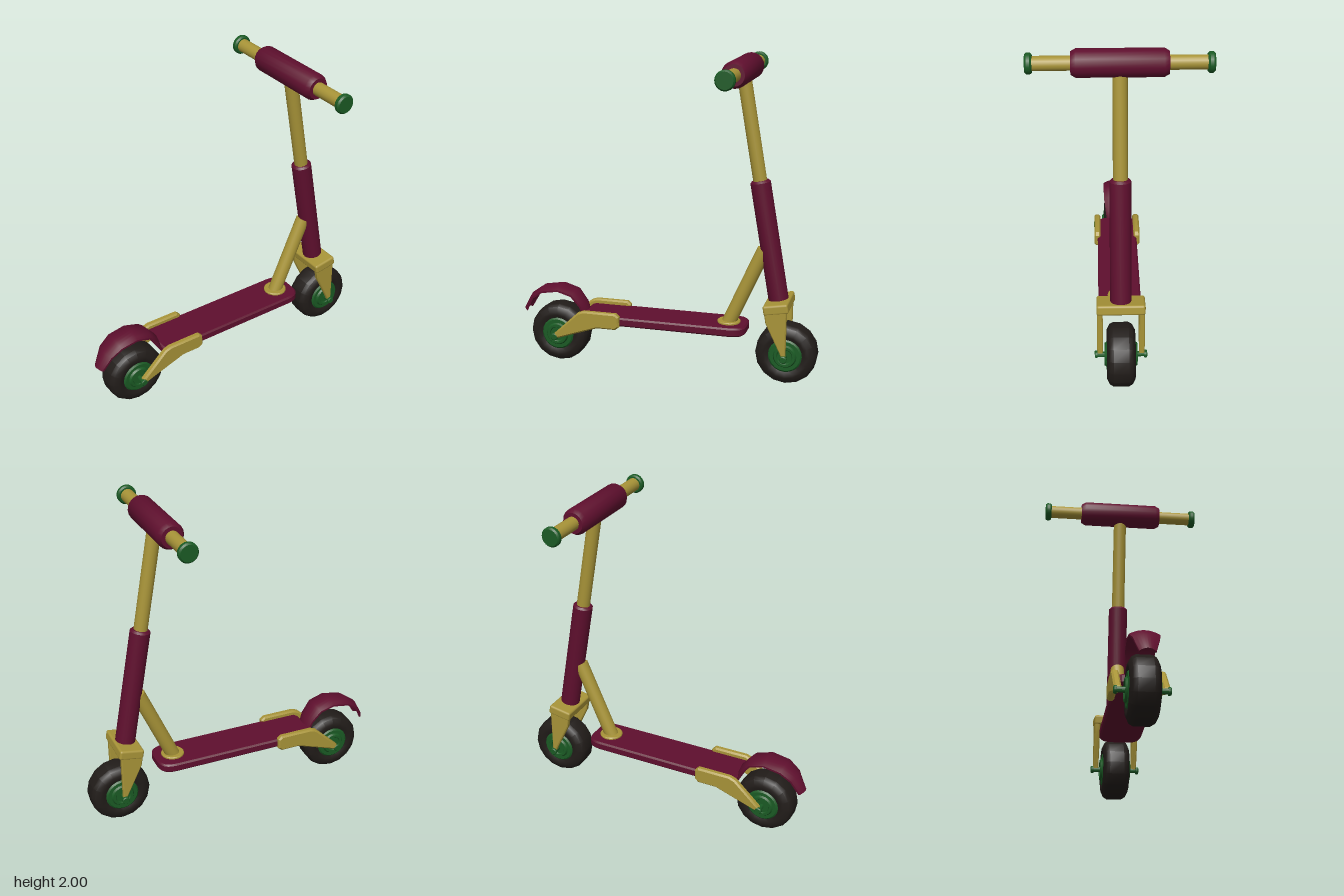
import * as THREE from 'three';
import { toCreasedNormals } from 'three/addons/utils/BufferGeometryUtils.js';
import { RoundedBoxGeometry } from 'three/addons/geometries/RoundedBoxGeometry.js';

const paint = (color) => new THREE.MeshStandardMaterial({ color });
const maroon = paint(0x5f0f2e), gold = paint(0xa89438), green = paint(0x1a5a24), rubber = paint(0x211c19);
const TILT = 0.175; // backward lean of the steering column

function part(parent, name, geometry, material) {
  const mesh = new THREE.Mesh(geometry, material);
  mesh.name = name;
  parent.add(mesh);
  return mesh;
}

// Turned solid around y from [radius, height] pairs, listed from bottom to top
function turned(profile, sides = 20) {
  const points = profile.map(([r, y]) => new THREE.Vector2(r, y));
  return toCreasedNormals(new THREE.LatheGeometry(points, sides), 0.6);
}

// Turned solid along z, symmetric; the profile lists the +z half from the rim to the axis
function turnedZ(half, sides) {
  const mirrored = half.map(([r, z]) => [r, -z]).reverse();
  return turned([...mirrored, ...half], sides).rotateX(Math.PI / 2);
}

// Capped tube between two points in the z = 0 plane, with a small chamfer
function tube(parent, name, from, to, r, material, chamfer = 0) {
  const a = new THREE.Vector3(...from, 0), b = new THREE.Vector3(...to, 0);
  const h = a.distanceTo(b) / 2, c = chamfer;
  const mesh = part(parent, name,
    turned([[0, -h], [r - c, -h], [r, -h + c], [r, h - c], [r - c, h], [0, h]]), material);
  mesh.position.copy(a).add(b).multiplyScalar(0.5);
  mesh.quaternion.setFromUnitVectors(new THREE.Vector3(0, 1, 0), b.sub(a).normalize());
  return mesh;
}

// Bevelled plate, drawn in xy and centred on z = 0
function plate(shape, depth, bevel) {
  const g = new THREE.ExtrudeGeometry(shape, {
    depth: depth - 2 * bevel, bevelEnabled: true, bevelThickness: bevel,
    bevelSize: bevel, bevelOffset: -bevel, bevelSegments: 1, curveSegments: 6,
  });
  return toCreasedNormals(g.translate(0, 0, bevel - depth / 2), 0.5);
}

const polygon = (pts) => new THREE.Shape(pts.map((p) => new THREE.Vector2(...p)));

function wheel(name, x) {
  const group = new THREE.Group();
  group.name = name;
  group.position.set(x, 0.19, 0);
  part(group, 'tyre', turnedZ([[0.19, 0.045], [0.177, 0.068], [0.145, 0.084], [0.125, 0.084], [0.095, 0.07]], 16), rubber);
  part(group, 'hub', turnedZ([[0.105, 0.076], [0.095, 0.085], [0.073, 0.085], [0.065, 0.097], [0.05, 0.097], [0.045, 0.09], [0, 0.09]], 20), green);
  part(group, 'axle', turnedZ([[0.016, 0.138], [0.023, 0.138], [0.023, 0.15], [0.018, 0.155], [0, 0.155]], 14), green);
  return group;
}

// Arched mudguard swept over the rear wheel from [x, y, half width] stations
function fenderGeometry() {
  const stations = [
    [-0.96, 0.33, 0.045], [-0.905, 0.43, 0.072], [-0.825, 0.487, 0.084], [-0.705, 0.507, 0.085],
    [-0.6, 0.475, 0.083], [-0.535, 0.395, 0.072], [-0.515, 0.34, 0.065],
  ];
  const n = 9, ring = 2 * n, pos = [], idx = [];
  stations.forEach(([x, y, w], i) => {
    const p = stations[Math.max(0, i - 1)], q = stations[Math.min(stations.length - 1, i + 1)];
    const len = Math.hypot(q[0] - p[0], q[1] - p[1]);
    const nx = -(q[1] - p[1]) / len, ny = (q[0] - p[0]) / len;
    for (let j = 0; j < ring; j++) {
      const under = j >= n;
      const u = ((under ? ring - 1 - j : j) / (n - 1)) * 2 - 1;
      const drop = 0.022 * u * u + (under ? 0.012 : 0);
      pos.push(x - nx * drop, y - ny * drop, w * u);
    }
  });
  const last = (stations.length - 1) * ring;
  for (let s = 0; s < last; s += ring) {
    for (let j = 0; j < ring; j++) {
      const a = s + j, b = s + ((j + 1) % ring);
      idx.push(a, b, a + ring, b, b + ring, a + ring);
    }
  }
  for (let j = 0; j < n - 1; j++) {
    const t = j, t2 = j + 1, b = ring - 1 - j, b2 = b - 1;
    idx.push(t, b, t2, t2, b, b2);
    idx.push(last + t, last + t2, last + b, last + t2, last + b2, last + b);
  }
  const g = new THREE.BufferGeometry();
  g.setAttribute('position', new THREE.Float32BufferAttribute(pos, 3));
  g.setIndex(idx);
  return toCreasedNormals(g, 0.7);
}

export function createModel() {
  const model = new THREE.Group();
  model.name = 'kickScooter';

  // Wheels and mudguard
  model.add(wheel('rearWheel', -0.71), wheel('frontWheel', 0.77));
  part(model, 'rearFender', fenderGeometry(), maroon);

  // Deck: rounded nose, clipped rear corners
  const deck = new THREE.Shape();
  deck.moveTo(-0.535, -0.09);
  deck.lineTo(-0.51, -0.13);
  deck.lineTo(0.42, -0.13);
  deck.quadraticCurveTo(0.52, -0.13, 0.52, -0.04);
  deck.lineTo(0.52, 0.04);
  deck.quadraticCurveTo(0.52, 0.13, 0.42, 0.13);
  deck.lineTo(-0.51, 0.13);
  deck.lineTo(-0.535, 0.09);
  part(model, 'deck', plate(deck, 0.056, 0.01).rotateX(-Math.PI / 2), maroon).position.y = 0.323;

  // Rear dropouts and fork legs, one on each side
  const dropout = polygon([
    [-0.718, 0.185], [-0.69, 0.182], [-0.42, 0.275], [-0.3, 0.275], [-0.275, 0.295],
    [-0.275, 0.36], [-0.297, 0.38], [-0.51, 0.38], [-0.55, 0.365], [-0.712, 0.212],
  ]);
  const leg = polygon([
    [0.758, 0.185], [0.78, 0.185], [0.782, 0.5], [0.642, 0.485], [0.655, 0.41], [0.752, 0.21],
  ]);
  for (const [side, s] of [['left', 1], ['right', -1]]) {
    // the model faces +z, so its left is +z-independent; sides here are across the deck
    const tag = side === 'left' ? 'Near' : 'Far';
    part(model, 'rearDropout' + tag, plate(dropout, 0.042, 0.01), gold).position.z = 0.131 * s;
    part(model, 'forkLeg' + tag, plate(leg, 0.034, 0.006), gold).position.z = 0.123 * s;
  }

  // Fork crown
  const crown = part(model, 'forkCrown', new RoundedBoxGeometry(0.155, 0.062, 0.285, 2, 0.014), gold);
  crown.position.set(0.714, 0.5, 0);
  crown.rotation.z = TILT;

  // Steering column and brace
  tube(model, 'lowerColumn', [0.713, 0.51], [0.58, 1.265], 0.062, maroon, 0.012);
  tube(model, 'upperColumn', [0.585, 1.23], [0.465, 1.92], 0.042, gold);
  tube(model, 'brace', [0.395, 0.335], [0.615, 0.835], 0.044, gold);
  tube(model, 'braceFlange', [0.402, 0.345], [0.402, 0.364], 0.073, gold, 0.005);

  // Handlebar with central pad and end caps
  const bar = new THREE.Group();
  bar.name = 'handlebar';
  bar.position.set(0.465, 1.92, 0);
  model.add(bar);
  part(bar, 'barTube', turnedZ([[0.041, 0.49], [0, 0.49]], 20), gold);
  part(bar, 'barPad', turnedZ([[0.08, 0.24], [0.064, 0.268], [0, 0.268]], 20), maroon);
  for (const s of [1, -1]) {
    const cap = part(bar, s > 0 ? 'nearEndCap' : 'farEndCap',
      turnedZ([[0.059, 0.01], [0.05, 0.02], [0, 0.02]], 20), green);
    cap.position.z = 0.496 * s;
  }
  return model;
}
